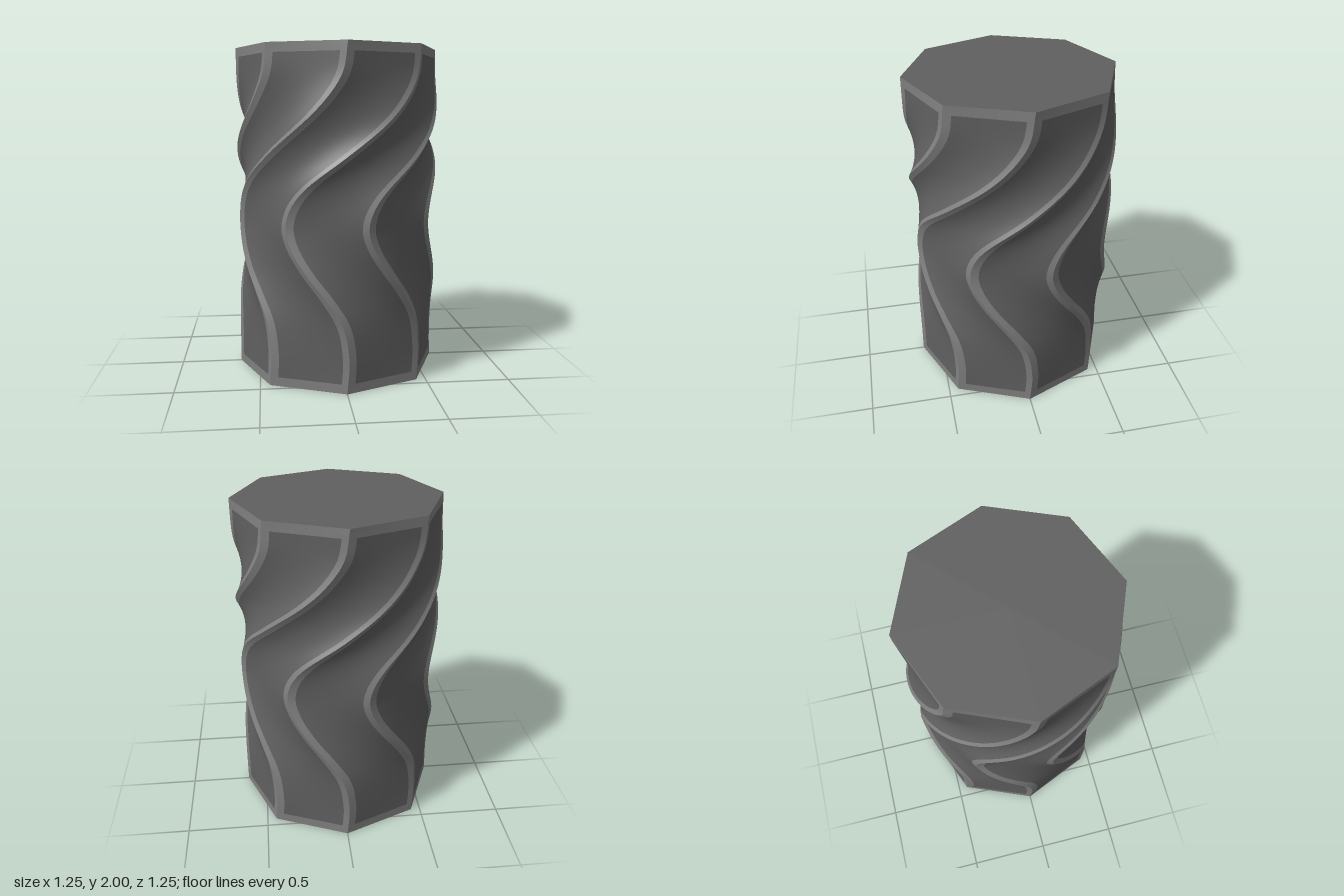
import * as THREE from 'three';
import { mergeGeometries } from 'three/addons/utils/BufferGeometryUtils.js';

const SIDES = 8, RADIUS = 0.625, HEIGHT = 2;

// Twist of the octagon in degrees, keyed by height
const heights = [0, 0.2, 0.4, 0.55, 0.7, 0.83, 0.95, 1.07, 1.18, 1.37, 1.56, 1.68, 1.82, 2];
const angles = [0, 1, -2.5, -11, -22, -30, -33.5, -30.5, -22.5, 0, 22.5, 33.5, 42, 45];
const twist = new THREE.CubicInterpolant(new Float32Array(heights), new Float32Array(angles), 1);

// Point on one twisted side: u runs across the side, y is the height
function sidePoint(side, u, y) {
  const turn = THREE.MathUtils.degToRad(twist.evaluate(y)[0]);
  const a = turn + (side / SIDES) * Math.PI * 2;
  const b = a + (Math.PI * 2) / SIDES;
  return [
    RADIUS * THREE.MathUtils.lerp(Math.sin(a), Math.sin(b), u),
    y,
    RADIUS * THREE.MathUtils.lerp(Math.cos(a), Math.cos(b), u),
  ];
}

// Rectangular patch of a side, as a grid of smooth quads
function patch(side, u0, u1, y0, y1) {
  const cols = Math.max(1, Math.round((u1 - u0) * 10));
  const rows = Math.max(1, Math.round((y1 - y0) * 50));
  const geometry = new THREE.PlaneGeometry(1, 1, cols, rows);
  const pos = geometry.attributes.position;
  for (let i = 0; i < pos.count; i++) {
    const u = THREE.MathUtils.lerp(u0, u1, pos.getX(i) + 0.5);
    const y = THREE.MathUtils.lerp(y0, y1, pos.getY(i) + 0.5);
    pos.setXYZ(i, ...sidePoint(side, u, y));
  }
  geometry.computeVertexNormals();
  return geometry;
}

export function createModel() {
  const group = new THREE.Group();
  const panelMaterial = new THREE.MeshStandardMaterial({ color: 0x606060 });
  const borderMaterial = new THREE.MeshStandardMaterial({ color: 0x808080 });

  const add = (name, geometry, material) => {
    const mesh = new THREE.Mesh(geometry, material);
    mesh.name = name;
    group.add(mesh);
    return mesh;
  };

  // Eight twisted sides, each a dark panel inside a lighter border
  const uA = 0.1, uB = 0.92, yA = 0.055, yB = HEIGHT - 0.055;
  for (let s = 0; s < SIDES; s++) {
    add(`panel${s + 1}`, patch(s, uA, uB, yA, yB), panelMaterial);
    add(`border${s + 1}`, mergeGeometries([
      patch(s, 0, uA, yA, yB),
      patch(s, uB, 1, yA, yB),
      patch(s, 0, 1, 0, yA),
      patch(s, 0, 1, yB, HEIGHT),
    ]), borderMaterial);
  }

  // Flat octagonal ends
  const cap = new THREE.CircleGeometry(RADIUS, SIDES);
  const top = add('topCap', cap, panelMaterial);
  top.rotation.x = -Math.PI / 2;
  top.position.y = HEIGHT;
  add('bottomCap', cap, panelMaterial).rotation.x = Math.PI / 2;

  return group;
}
